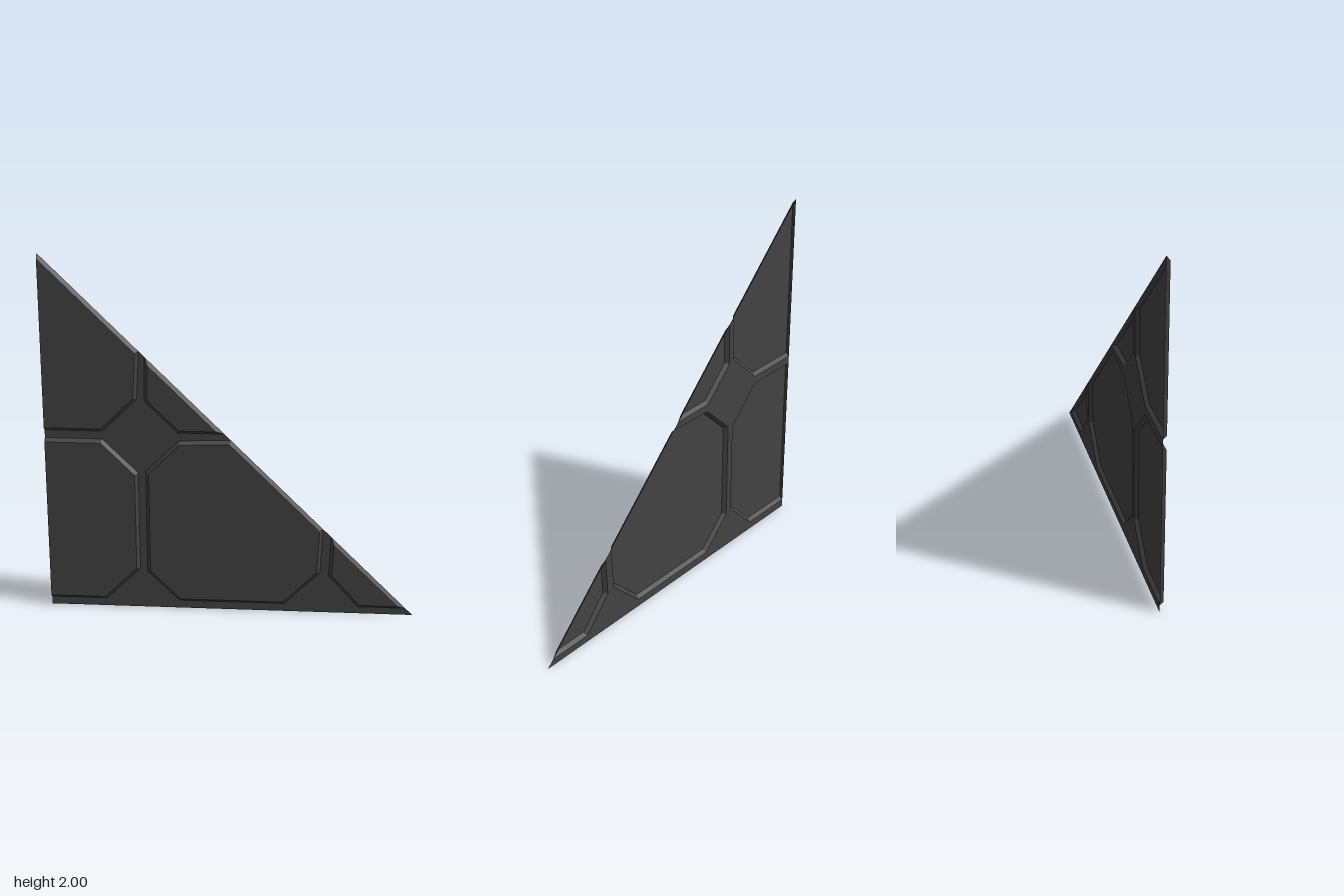
import * as THREE from 'three';

const HALF = 0.01;    // half the relief depth
const BEVEL = 0.018;  // width of the sloped panel edges

// Each panel's groove-side path, running from rim to rim; 'corner' closes the tip.
const PANELS = [
  { name: 'lowerRightPanel', path: [[0.96, 0.04], [0.70, 0.04], [0.535, 0.225], [0.545, 0.455]] },
  { name: 'centrePanel', path: [[0.5, 0.5], [0.488, 0.24], [0.295, 0.045], [-0.285, 0.045],
    [-0.46, 0.22], [-0.46, 0.81], [-0.28, 0.99], [0, 1]] },
  { name: 'upperRightPanel', path: [[-0.035, 1.035], [-0.285, 1.035], [-0.46, 1.21], [-0.455, 1.455]] },
  { name: 'upperLeftPanel', path: [[-0.485, 1.485], [-0.5, 1.22], [-0.688, 1.035], [-1, 1.035]], corner: [-1, 2] },
  { name: 'lowerLeftPanel', path: [[-1, 0.99], [-0.69, 0.99], [-0.5, 0.8], [-0.5, 0.235], [-0.688, 0.045], [-1, 0.045]] },
];

const toVectors = (points) => points.map(([x, y]) => new THREE.Vector2(x, y));

// Moves every edge of a counter-clockwise outline inwards; edges on the straight side stay put.
function inset(outline) {
  const n = outline.length;
  const lines = outline.map((a, i) => {
    const b = outline[(i + 1) % n];
    const dir = b.clone().sub(a).normalize();
    const width = a.x === -1 && b.x === -1 ? 0 : BEVEL;
    return { dir, start: a.clone().add(new THREE.Vector2(-dir.y, dir.x).multiplyScalar(width)) };
  });
  return lines.map((line, i) => {
    const prev = lines[(i + n - 1) % n];
    const t = line.start.clone().sub(prev.start).cross(line.dir) / prev.dir.cross(line.dir);
    return prev.start.clone().addScaledVector(prev.dir, t);
  });
}

// Sloped band between the groove level and the raised face
function bevelGeometry(outer, inner) {
  const positions = [];
  const put = (p, z) => positions.push(p.x, p.y, z);
  outer.forEach((a, i) => {
    const j = (i + 1) % outer.length;
    put(a, -HALF); put(outer[j], -HALF); put(inner[j], HALF);
    put(a, -HALF); put(inner[j], HALF); put(inner[i], HALF);
  });
  const geometry = new THREE.BufferGeometry();
  geometry.setAttribute('position', new THREE.Float32BufferAttribute(positions, 3));
  geometry.computeVertexNormals();
  return geometry;
}

export function createModel() {
  const model = new THREE.Group();
  model.name = 'triangularWallPlate';
  const darkGrey = new THREE.MeshStandardMaterial({ color: 0x444444, side: THREE.DoubleSide });
  darkGrey.name = 'darkGrey';

  const add = (parent, name, geometry, z = 0) => {
    const mesh = new THREE.Mesh(geometry, darkGrey);
    mesh.name = name;
    mesh.position.z = z;
    parent.add(mesh);
  };

  // Groove sheet: the triangle with every panel cut out of its rim
  const sheet = [[-1, 0], [1, 0], ...PANELS.flatMap((p) => p.path)];
  add(model, 'grooveSheet', new THREE.ShapeGeometry(new THREE.Shape(toVectors(sheet))), -HALF);

  // Raised panels, hollow behind
  for (const { name, path, corner } of PANELS) {
    const outer = toVectors(corner ? [...path, corner] : path).reverse();
    const inner = inset(outer);
    const panel = new THREE.Group();
    panel.name = name;
    add(panel, 'panelFace', new THREE.ShapeGeometry(new THREE.Shape(inner)), HALF);
    add(panel, 'panelBevel', bevelGeometry(outer, inner));
    model.add(panel);
  }
  return model;
}
